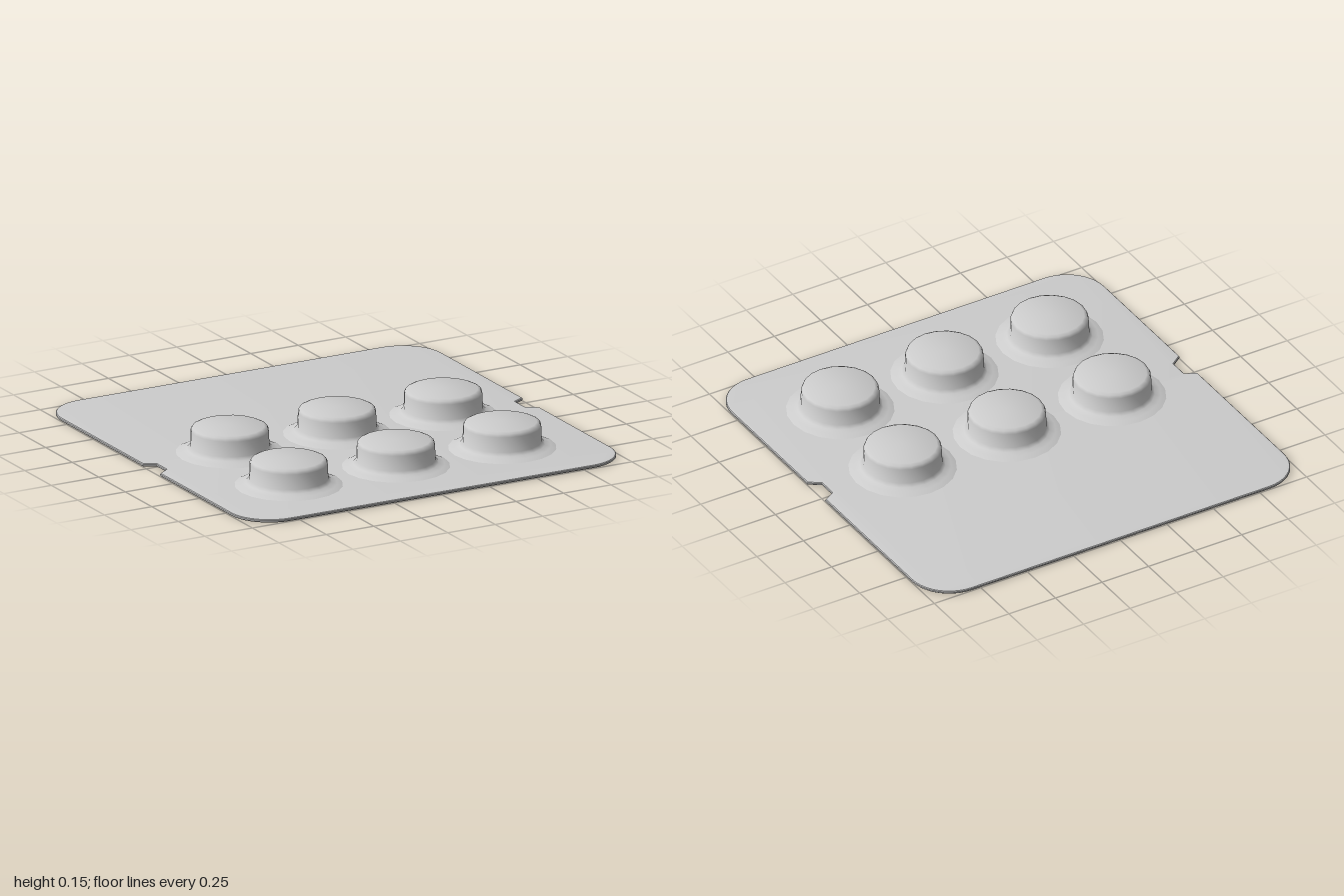
import * as THREE from 'three';
import { toCreasedNormals } from 'three/addons/utils/BufferGeometryUtils.js';

// Card outline: rounded square with a small notch in each side edge
function cardOutline() {
  const s = new THREE.Shape();
  const r = 0.2, e = 1, c = e - r;
  s.moveTo(-c, -e);
  s.lineTo(c, -e);
  s.absarc(c, -c, r, -Math.PI / 2, 0);
  s.lineTo(e, -0.13);
  s.lineTo(0.945, -0.09);
  s.lineTo(0.945, 0);
  s.lineTo(e, 0.03);
  s.lineTo(e, c);
  s.absarc(c, c, r, 0, Math.PI / 2);
  s.lineTo(-c, e);
  s.absarc(-c, c, r, Math.PI / 2, Math.PI);
  s.lineTo(-e, 0.03);
  s.lineTo(-0.945, 0);
  s.lineTo(-0.945, -0.09);
  s.lineTo(-e, -0.13);
  s.lineTo(-e, -c);
  s.absarc(-c, -c, r, Math.PI, Math.PI * 1.5);
  return s;
}

export function createModel() {
  const group = new THREE.Group();
  const grey = new THREE.MeshStandardMaterial({ color: 0xcccccc });
  grey.name = 'light grey';

  // Thin backing card with softened edges
  const cardGeo = new THREE.ExtrudeGeometry(cardOutline(), {
    depth: 0.007, curveSegments: 5,
    bevelThickness: 0.005, bevelSize: 0.012, bevelOffset: -0.012, bevelSegments: 2,
  });
  cardGeo.rotateX(-Math.PI / 2);
  cardGeo.translate(0, 0.005, 0);
  const card = new THREE.Mesh(toCreasedNormals(cardGeo, 0.6), grey);
  card.name = 'card';
  group.add(card);

  // Round blister with a flared foot and softened top edge
  const profile = [
    [0.255, 0.015], [0.225, 0.028], [0.198, 0.035], [0.184, 0.05],
    [0.181, 0.122], [0.175, 0.136], [0.16, 0.143], [0, 0.147],
  ].map(([x, y]) => new THREE.Vector2(x, y));
  const blisterGeo = toCreasedNormals(new THREE.LatheGeometry(profile, 20), 0.9);

  // Two rows of three blisters
  for (const z of [0.01, 0.565]) {
    for (const x of [-0.565, 0, 0.56]) {
      const blister = new THREE.Mesh(blisterGeo, grey);
      blister.name = 'blister';
      blister.position.set(x, 0, z);
      group.add(blister);
    }
  }
  return group;
}
